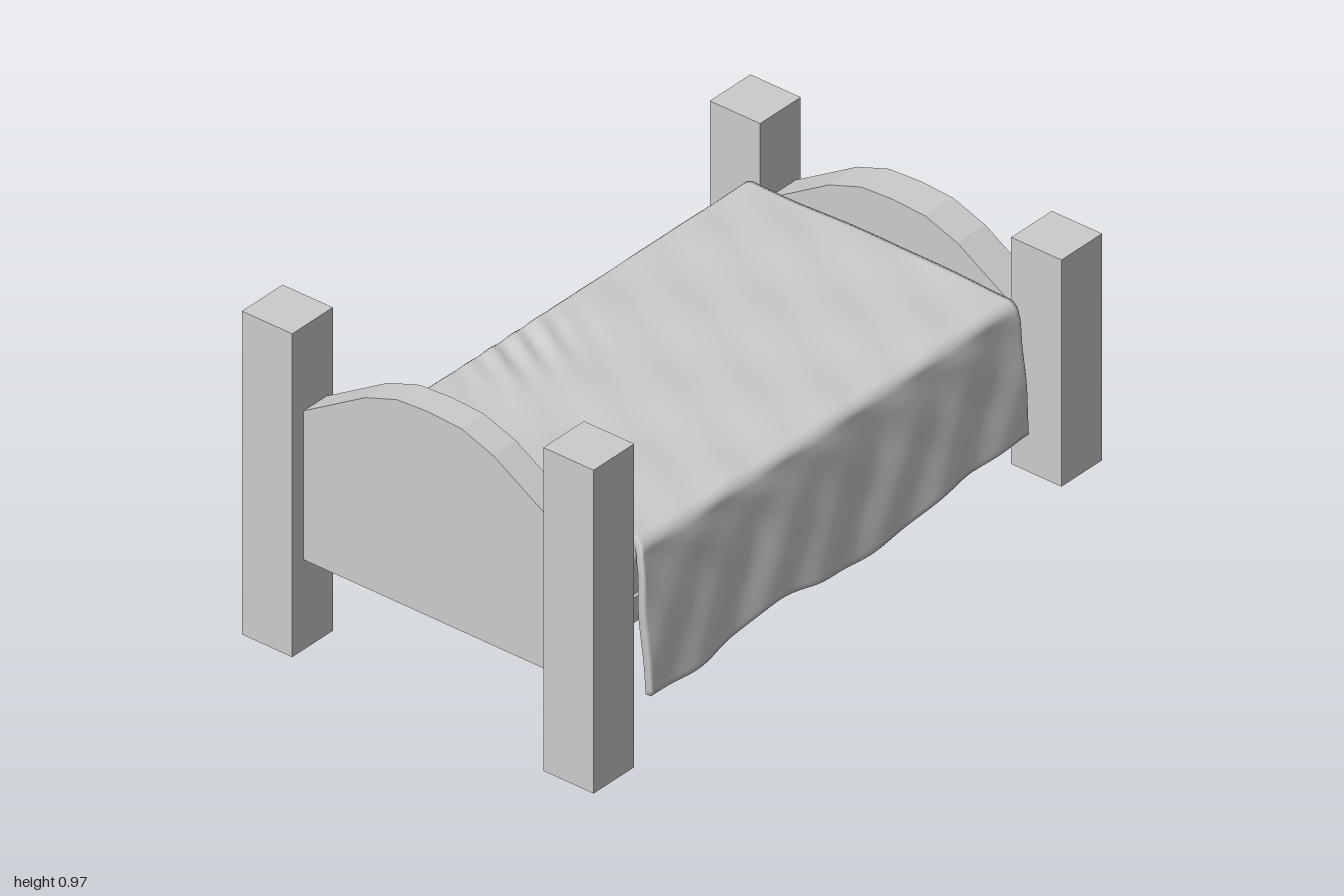
import * as THREE from 'three';
import { RoundedBoxGeometry } from 'three/addons/geometries/RoundedBoxGeometry.js';

const mat = new THREE.MeshStandardMaterial({ color: 0xcccccc });
const smooth = THREE.MathUtils.smoothstep;
const lerp = THREE.MathUtils.lerp;

function add(group, name, geometry, x = 0, y = 0, z = 0) {
  const mesh = new THREE.Mesh(geometry, mat);
  mesh.name = name;
  mesh.position.set(x, y, z);
  group.add(mesh);
  return mesh;
}

// Arched end board: straight shoulders, faceted crown
function boardGeometry(bottom, shoulder, depth) {
  const half = [[0.415, 0], [0.21, 0.125], [0.105, 0.162]];
  const pts = [
    [-0.415, bottom - shoulder], [0.415, bottom - shoulder],
    ...half, [0, 0.168],
    ...half.slice().reverse().map(([x, y]) => [-x, y]),
  ].map(([x, y]) => new THREE.Vector2(x, y + shoulder));
  return new THREE.ExtrudeGeometry(new THREE.Shape(pts), { depth, bevelEnabled: false });
}

// Wavy lower edge of the blanket, as a function of z
const hemCurve = new THREE.SplineCurve([
  [-0.82, 0.14], [-0.62, 0.132], [-0.45, 0.13], [-0.25, 0.1], [-0.07, 0.085],
  [0.08, 0.11], [0.2, 0.13], [0.35, 0.105], [0.5, 0.09], [0.67, 0.092],
].map(([z, y]) => new THREE.Vector2(z, y)));

// Front edge of the blanket across the bed, t from -1 (right hem) to 1 (left hem)
const frontCurve = new THREE.SplineCurve([
  0.67, 0.665, 0.64, 0.575, 0.585, 0.625, 0.66, 0.655, 0.64, 0.645, 0.665, 0.67, 0.67,
].map((z, i) => new THREE.Vector2(i, z)));

// Point on the blanket; inset 0 is the outer skin
function blanketPoint(t, v, inset) {
  const side = Math.sign(t) || 1;
  const a = Math.abs(t);
  const z = lerp(-0.82 - 0.01 * (1 - a), frontCurve.getPoint((t + 1) / 2).y, v);
  const w = (side < 0 ? 0.455 : 0.45) - inset;
  const flare = side < 0 ? 0.055 : 0.04;
  const r = 0.035;
  const top = 0.52 - inset;
  const hem = hemCurve.getPoint(v).y;
  let x, y;
  if (a < 0.5) {
    x = (a / 0.5) * (w - r);
    y = top;
  } else if (a < 0.6) {
    const q = ((a - 0.5) / 0.1) * Math.PI / 2;
    x = w - r + r * Math.sin(q);
    y = top - r + r * Math.cos(q);
  } else {
    const d = (a - 0.6) / 0.4;
    x = w + flare * Math.pow(d, 0.8);
    y = lerp(top - r, hem, d);
  }
  x *= side;
  // Soft wrinkles on top, deeper folds over the sides
  const onTop = 1 - smooth(a, 0.45, 0.6);
  const drop = smooth(a, 0.55, 0.9);
  y += onTop * (0.0025 * Math.sin(9 * x + 14 * z) + 0.0015 * Math.sin(31 * z - 17 * x));
  y += onTop * 0.008 * smooth(z, 0.35, 0.65);
  const gather = Math.exp(-((x + 0.42) ** 2) / 0.02 - ((z - 0.14) ** 2) / 0.025);
  y += onTop * gather * 0.008 * Math.sin(70 * (z - 0.6 * (x + 0.42)));
  x += side * drop * (0.006 * Math.sin(13 * z + side) + 0.004 * Math.sin(27 * z + 14 * y));
  x += side * smooth(a, 0.55, 0.65) * (1 - drop) * 0.006 * Math.sin(24 * z - 20 * y);
  return [x, y, z];
}

// Closed cloth shell: outer skin, inner skin, hems and both ends
function blanketGeometry() {
  const n = 121, rings = 120, loop = 2 * n;
  const pos = [], idx = [];
  for (let j = 0; j <= rings; j++) {
    for (let k = 0; k < loop; k++) {
      const i = k < n ? k : loop - 1 - k;
      pos.push(...blanketPoint((2 * i) / (n - 1) - 1, j / rings, k < n ? 0 : 0.018));
    }
  }
  for (let j = 0; j < rings; j++) {
    for (let k = 0; k < loop; k++) {
      const a = j * loop + k, b = j * loop + (k + 1) % loop;
      idx.push(a, a + loop, b, b, a + loop, b + loop);
    }
  }
  const f = rings * loop;
  for (let i = 0; i < n - 1; i++) {
    const o = i, p = i + 1, q = loop - 1 - i, s = loop - 2 - i;
    idx.push(f + o, f + q, f + s, f + o, f + s, f + p);
    idx.push(o, s, q, o, p, s);
  }
  const g = new THREE.BufferGeometry();
  g.setAttribute('position', new THREE.Float32BufferAttribute(pos, 3));
  g.setIndex(idx);
  g.computeVertexNormals();
  return g;
}

export function createModel() {
  const bed = new THREE.Group();
  bed.name = 'bed';

  // Corner posts, tall at the head (+z) and short at the foot
  for (const [side, sx] of [['left', 1], ['right', -1]]) {
    add(bed, `${side}HeadPost`, new THREE.BoxGeometry(0.165, 0.97, 0.16), sx * 0.495, 0.485, 0.92);
    add(bed, `${side}FootPost`, new THREE.BoxGeometry(0.165, 0.68, 0.16), sx * 0.495, 0.35, -0.92);
  }

  // End boards
  add(bed, 'headboard', boardGeometry(0.27, 0.715, 0.09), 0, 0, 0.865);
  add(bed, 'footboard', boardGeometry(0.27, 0.45, 0.11), 0, 0, -0.98);

  // Base and mattress
  add(bed, 'base', new THREE.BoxGeometry(0.84, 0.075, 1.74), 0, 0.3125, 0);
  add(bed, 'mattress', new RoundedBoxGeometry(0.85, 0.145, 1.7, 4, 0.03), 0, 0.42, -0.005);

  // Draped blanket
  add(bed, 'blanket', blanketGeometry());
  return bed;
}
